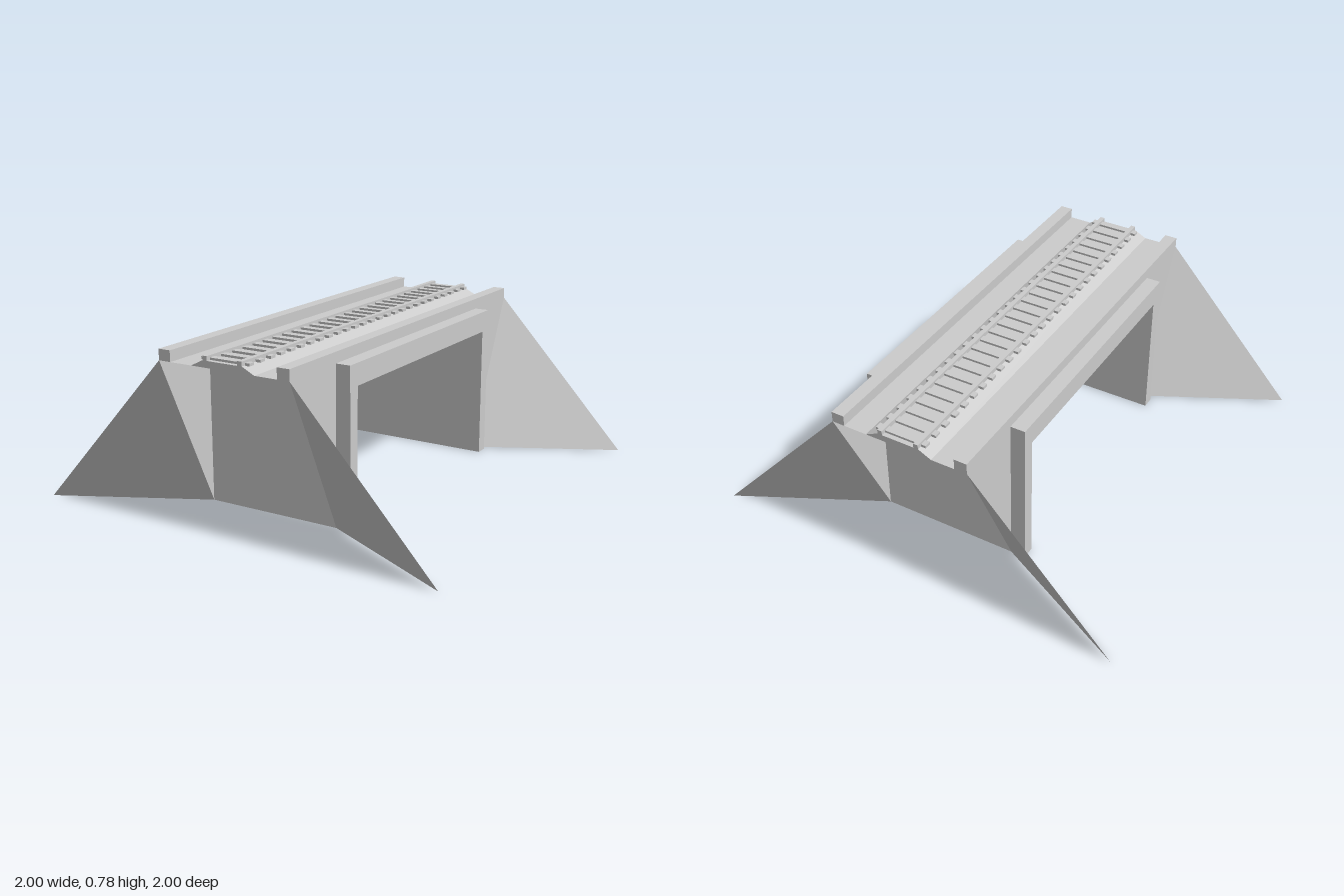
import * as THREE from 'three';

const W = 0.33, DECK = 0.73, CEIL = 0.63, OUT = 0.66, IN = 0.6;

export function createModel() {
  const root = new THREE.Group();
  const solid = new THREE.MeshStandardMaterial({ color: 0xcccccc, flatShading: true });
  const sheet = new THREE.MeshStandardMaterial({ color: 0xcccccc, flatShading: true, side: THREE.DoubleSide });

  const add = (name, geometry, material = solid) => {
    const mesh = new THREE.Mesh(geometry, material);
    mesh.name = name;
    root.add(mesh);
    return mesh;
  };
  const box = (name, w, h, d, x, y, z) =>
    add(name, new THREE.BoxGeometry(w, h, d)).position.set(x, y, z);
  const triangle = (name, ...points) => {
    const g = new THREE.BufferGeometry().setFromPoints(points.map((p) => new THREE.Vector3(...p)));
    g.computeVertexNormals();
    add(name, g, sheet);
  };
  const plane = (name, w, d, y) => {
    add(name, new THREE.PlaneGeometry(w, d).rotateX(-Math.PI / 2), sheet).position.y = y;
  };

  // Thin deck and the ceiling of the underpass
  plane('deck', 2 * W, 2, DECK);
  plane('underpassCeiling', 2 * W, 2 * IN, CEIL);

  // U-shaped portal outline, drawn in (z, y) and extruded sideways
  const portal = new THREE.Shape([
    [-OUT, 0], [-IN, 0], [-IN, CEIL], [IN, CEIL], [IN, 0], [OUT, 0], [OUT, DECK], [-OUT, DECK],
  ].map(([z, y]) => new THREE.Vector2(z, y)));

  for (const sx of [-1, 1]) {
    const side = sx > 0 ? 'left' : 'right';
    const frame = new THREE.ExtrudeGeometry(portal, { depth: 0.07, bevelEnabled: false });
    frame.rotateY(-Math.PI / 2).translate(sx > 0 ? W + 0.07 : -W, 0, 0);
    add(side + 'PortalFrame', frame);

    box(side + 'Parapet', 0.06, 0.05, 2, sx * (W - 0.03), DECK + 0.025, 0);

    // Side wall above each slope, and the sloping wing wall
    for (const sz of [-1, 1]) {
      const end = sz > 0 ? 'Front' : 'Back';
      triangle(side + end + 'SideWall', [sx * W, DECK, sz], [sx * W, DECK, sz * OUT], [sx * W, 0, sz * OUT]);
      triangle(side + end + 'WingWall', [sx * W, DECK, sz], [sx, 0, sz], [sx * W, 0, sz * OUT]);
    }
  }

  // Abutment walls
  for (const sz of [-1, 1]) {
    box(sz > 0 ? 'frontAbutment' : 'backAbutment', 2 * W, CEIL, OUT - IN, 0, CEIL / 2, sz * (OUT + IN) / 2);
  }

  // Ballast bed
  const bed = new THREE.Shape([
    new THREE.Vector2(-0.16, DECK), new THREE.Vector2(0.16, DECK),
    new THREE.Vector2(0.1, 0.76), new THREE.Vector2(-0.1, 0.76),
  ]);
  add('ballast', new THREE.ExtrudeGeometry(bed, { depth: 2, bevelEnabled: false }).translate(0, 0, -1));

  // Sleepers and rails
  const count = 27;
  for (let i = 0; i < count; i++) {
    box('sleeper', 0.244, 0.012, 0.032, 0, 0.764, (i - (count - 1) / 2) * 0.074);
  }
  for (const sx of [-1, 1]) {
    box(sx > 0 ? 'leftRail' : 'rightRail', 0.022, 0.02, 2, sx * 0.088, 0.77, 0);
  }

  return root;
}
